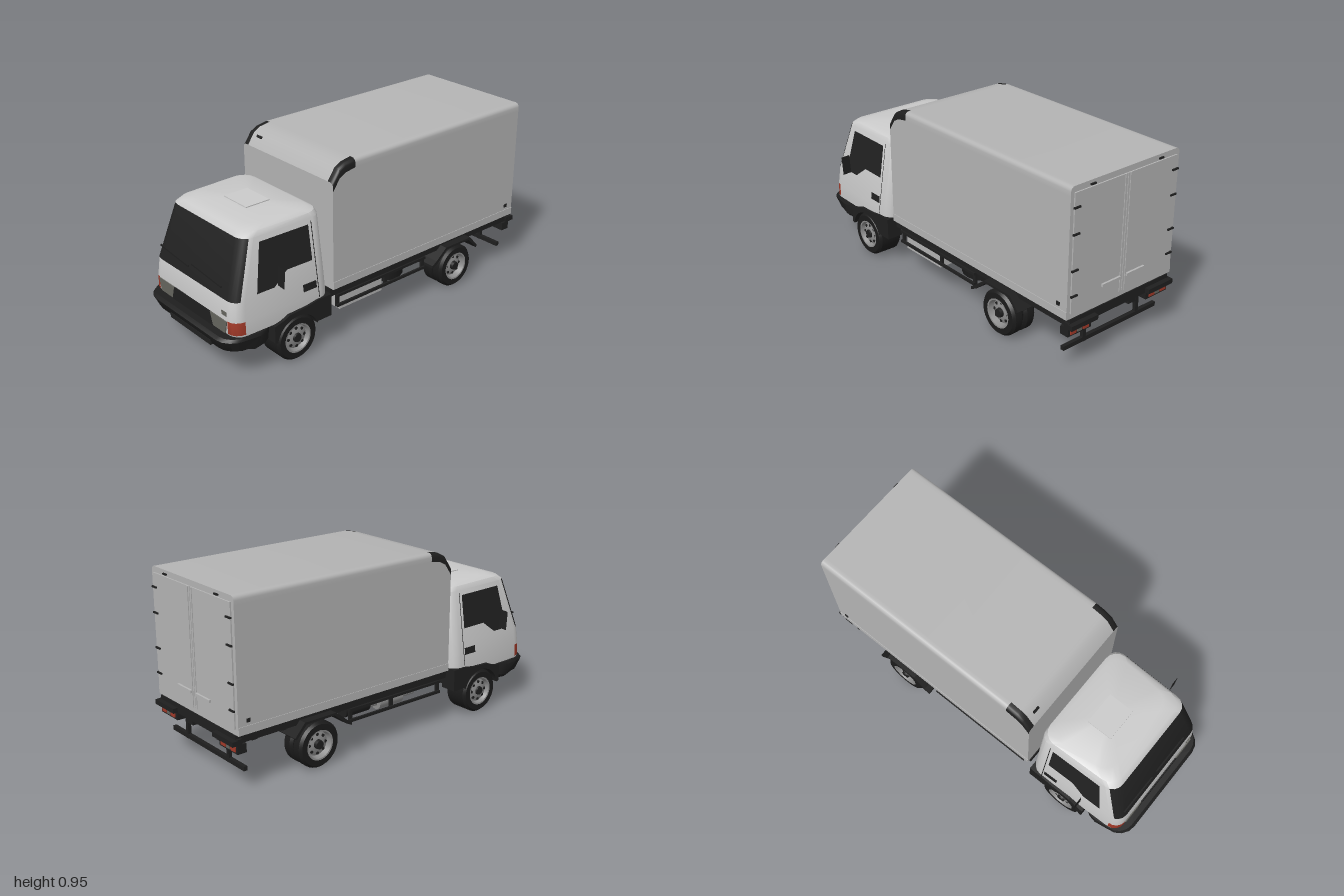
import * as THREE from 'three';
import { toCreasedNormals } from 'three/addons/utils/BufferGeometryUtils.js';

const paint = (name, color, side = THREE.FrontSide) => {
  const m = new THREE.MeshStandardMaterial({ color, side });
  m.name = name;
  return m;
};

// Skin over matching rings; pick(row, column) gives the material index, row -1 is a cap
function loft(rings, pick = () => 0) {
  const buckets = [[], [], []];
  const n = rings[0].length;
  const tri = (k, ...pts) => pts.forEach(p => buckets[k].push(...p));
  for (let i = 0; i < rings.length - 1; i++) {
    for (let j = 0; j < n; j++) {
      const q = (j + 1) % n, k = pick(i, j);
      const [a, b, c, d] = [rings[i][j], rings[i][q], rings[i + 1][q], rings[i + 1][j]];
      tri(k, a, b, c);
      tri(k, a, c, d);
    }
  }
  const first = rings[0], last = rings[rings.length - 1];
  const mid = r => [0, 1, 2].map(c => r.reduce((s, p) => s + p[c], 0) / n);
  for (let j = 0; j < n; j++) {
    const q = (j + 1) % n;
    tri(pick(-1, 0), mid(first), first[q], first[j]);
    tri(pick(-1, 0), mid(last), last[j], last[q]);
  }
  const geo = new THREE.BufferGeometry();
  geo.setAttribute('position', new THREE.Float32BufferAttribute(buckets.flat(), 3));
  let start = 0;
  buckets.forEach((b, k) => {
    if (b.length) geo.addGroup(start, b.length / 3, k);
    start += b.length / 3;
  });
  return toCreasedNormals(geo, 0.55);
}

// Rounded plan outline: front and back depth, front and back half width, corner radius
function planRing([y, zf, zb, wf, wb, r]) {
  const pts = [];
  const corners = [[-wf + r, zf - r, Math.PI], [wf - r, zf - r, Math.PI / 2], [wb - r, zb + r, 0], [-wb + r, zb + r, -Math.PI / 2]];
  for (const [x, z, a0] of corners) {
    for (let s = 0; s <= 4; s++) {
      const a = a0 - s * Math.PI / 8;
      pts.push([x + r * Math.cos(a), y, z + r * Math.sin(a)]);
    }
  }
  return pts;
}

// Cargo body section with rounded top edges; the extra points bound the corner caps
function cargoRing([z, top]) {
  const r = 0.022, w = 0.35, half = [[w, 0.29], [w, top - 0.045]];
  for (let k = 0; k <= 4; k++) {
    const a = k * Math.PI / 8;
    half.push([w - r + r * Math.cos(a), top - r + r * Math.sin(a)]);
  }
  half.push([0.312, top]);
  const other = half.map(([x, y]) => [-x, y]).reverse();
  return [...half, ...other].map(([x, y]) => [x, y, z]);
}

// Door surface: x at a given height and depth
function doorX(y, z) {
  const k = (y - 0.42) / 0.28, mix = THREE.MathUtils.lerp;
  const t = (z - 0.45) / (mix(0.94, 0.85, k) - 0.06 - 0.45);
  return mix(mix(0.347, 0.304, k), mix(0.336, 0.295, k), t);
}

export function createModel() {
  const truck = new THREE.Group();
  truck.name = 'boxTruck';
  const white = paint('cabWhite', 0xcacaca), cargo = paint('cargoGrey', 0xb4b4b4);
  const glass = paint('darkGlass', 0x212121, THREE.DoubleSide), black = paint('blackPlastic', 0x1f1f1f, THREE.DoubleSide);
  const rubber = paint('tyreRubber', 0x1b1b1b), red = paint('lampRed', 0xa33a29);
  const lamp = paint('headlampGrey', 0x64645e), steel = paint('rimSteel', 0x8c8c8c);

  const add = (name, geo, mat, x = 0, y = 0, z = 0) => {
    const m = new THREE.Mesh(geo, mat);
    m.name = name;
    m.position.set(x, y, z);
    truck.add(m);
    return m;
  };
  const box = (name, mat, w, h, d, x, y, z) => add(name, new THREE.BoxGeometry(w, h, d), mat, x, y, z);
  const rod = (name, mat, r, len, axis, x, y, z) => {
    const m = add(name, new THREE.CylinderGeometry(r, r, len, 20), mat, x, y, z);
    if (axis === 'x') m.rotation.z = Math.PI / 2;
    if (axis === 'z') m.rotation.x = Math.PI / 2;
    return m;
  };
  const outline = pts => new THREE.Shape(pts.map(p => new THREE.Vector2(...p)));
  // Extrudes a (z, y) outline across the width, centred on x
  const across = (name, mat, shape, width, x) => {
    const geo = new THREE.ExtrudeGeometry(shape, { depth: width, bevelEnabled: false, curveSegments: 16 });
    geo.translate(0, 0, -width / 2).rotateY(-Math.PI / 2);
    return add(name, geo, mat, x);
  };

  // Cab shell, windscreen and corner lamps
  const cabLevels = [
    [0.243, 0.945, 0.39, 0.347, 0.36, 0.06], [0.252, 0.95, 0.39, 0.347, 0.36, 0.06],
    [0.318, 0.95, 0.39, 0.345, 0.36, 0.06], [0.418, 0.94, 0.39, 0.336, 0.347, 0.06],
    [0.70, 0.85, 0.39, 0.295, 0.304, 0.06], [0.722, 0.825, 0.395, 0.282, 0.292, 0.07],
    [0.735, 0.77, 0.42, 0.25, 0.265, 0.08]];
  add('cab', loft(cabLevels.map(planRing), (i, j) => {
    if (i === 3 && j > 0 && j < 8) return 1;
    return i === 1 && j < 9 && j !== 4 ? 2 : 0;
  }), [white, glass, red]);
  box('roofHatch', white, 0.18, 0.01, 0.14, -0.01, 0.735, 0.6);

  // Grille and headlamps
  const plate = (name, mat, pts, z) => add(name, new THREE.ExtrudeGeometry(outline(pts), { depth: 0.006, bevelEnabled: false }), mat, 0, 0, z);
  plate('grille', black, [[-0.17, 0.247], [0.17, 0.247], [0.15, 0.316], [-0.15, 0.316]], 0.95);
  for (const s of [1, -1]) {
    const pts = [[0.172, 0.25], [0.27, 0.25], [0.285, 0.316], [0.152, 0.316]].map(([x, y]) => [s * x, y]);
    plate('headlamp', lamp, pts, 0.949);
  }
  box('frontPanelPlate', lamp, 0.038, 0.02, 0.006, 0.26, 0.35, 0.947);
  // Wipers
  for (const x of [-0.17, 0.1]) {
    const wiper = box('wiper', black, 0.24, 0.008, 0.008, x, 0.475, 0.927);
    wiper.rotation.z = -0.1;
  }

  // Front bumper
  const bumper = [[0.14, 0.95, 0.73, 0.31, 0.33, 0.1], [0.165, 0.975, 0.72, 0.34, 0.355, 0.1],
    [0.225, 1.0, 0.72, 0.355, 0.365, 0.1], [0.24, 0.985, 0.72, 0.35, 0.36, 0.09]];
  add('frontBumper', loft(bumper.map(planRing)), black);
  box('bumperInset', glass, 0.34, 0.028, 0.03, 0.02, 0.175, 0.972);

  const arch = outline([[0.74, 0.15], [0.74, 0.24], [0.69, 0.252], [0.65, 0.27], [0.54, 0.276], [0.47, 0.288], [0.39, 0.288], [0.39, 0.17], [0.475, 0.17]]);
  arch.absarc(0.6, 0.12, 0.127, 2.8, 0.2, true);
  const sideWindow = [[0.815, 0.435], [0.767, 0.675], [0.484, 0.675], [0.484, 0.497], [0.634, 0.497], [0.715, 0.435]];
  const handle = [[0.475, 0.355], [0.555, 0.355], [0.555, 0.392], [0.475, 0.392]];
  const seam = [[0.464, 0.3], [0.468, 0.3], [0.468, 0.69], [0.464, 0.69]];

  for (const s of [1, -1]) {
    // Door details laid on the slanted side
    for (const [name, mat, pts] of [['sideWindow', glass, sideWindow], ['doorHandle', black, handle], ['doorSeam', black, seam]]) {
      const geo = new THREE.ShapeGeometry(outline(pts));
      const p = geo.attributes.position;
      for (let i = 0; i < p.count; i++) {
        const z = p.getX(i), y = p.getY(i);
        p.setXYZ(i, s * (doorX(y, z) + 0.006), y, z);
      }
      geo.computeVertexNormals();
      add(name, geo, mat);
    }
    across('frontWheelArch', black, arch, 0.09, s * 0.325);
    const mirror = add('mirror', new THREE.PlaneGeometry(0.05, 0.105), black, s * 0.403, 0.512, 0.72);
    mirror.rotation.z = -s * 0.06;
  }

  // Cargo body with black upper front corners
  const cargoLevels = [[-0.97, 0.95], [0.22, 0.95], [0.28, 0.94], [0.318, 0.92], [0.36, 0.86]];
  const isCorner = j => (j > 0 && j < 7) || (j > 7 && j < 14);
  add('cargoBody', loft(cargoLevels.map(cargoRing), (i, j) => (i > 0 && isCorner(j) ? 1 : 0)), [cargo, black]);
  const vent = box('bodyVent', black, 0.04, 0.014, 0.008, -0.257, 0.909, 0.326);
  vent.rotation.x = -0.61;
  for (const s of [1, -1]) {
    box('sideRail', cargo, 0.006, 0.04, 1.33, s * 0.35, 0.312, -0.305);
    box('sideMarker', black, 0.006, 0.018, 0.02, s * 0.352, 0.358, -0.915);
    // Rear doors, hinges and locks
    box('rearDoor', cargo, 0.328, 0.6, 0.01, s * 0.166, 0.62, -0.972);
    for (const y of [0.41, 0.54, 0.72, 0.85]) box('hinge', black, 0.04, 0.008, 0.01, s * 0.318, y, -0.98);
    box('lockRod', cargo, 0.006, 0.6, 0.006, s * 0.016, 0.62, -0.978);
    box('lockHandle', cargo, 0.12, 0.014, 0.012, s * 0.08, 0.4, -0.982);
    box('topLatch', black, 0.03, 0.008, 0.008, s * 0.22, 0.932, -0.976);
  }

  // Chassis
  box('bedFrame', black, 0.66, 0.045, 1.34, 0, 0.267, -0.305);
  box('rearBeam', black, 0.68, 0.03, 0.03, 0, 0.255, -0.96);
  for (const z of [0.3, 0.05, -0.2, -0.35, -0.68, -0.85]) box('crossMember', black, 0.6, 0.03, 0.03, 0, 0.24, z);
  for (const s of [1, -1]) {
    box('frameRail', black, 0.05, 0.08, 1.75, s * 0.13, 0.225, -0.06);
    // Side guards
    for (const y of [0.178, 0.235]) box('sideGuard', black, 0.012, 0.014, 0.62, s * 0.33, y, 0.01);
    for (const z of [0.31, -0.02, -0.29]) box('guardPost', black, 0.012, 0.1, 0.02, s * 0.32, 0.22, z);
    // Rear mudguards
    const guard = outline([[-0.32, 0.175], [-0.36, 0.195], [-0.43, 0.255], [-0.6, 0.255], [-0.66, 0.19], [-0.67, 0.2], [-0.61, 0.267], [-0.42, 0.267], [-0.35, 0.21], [-0.32, 0.19]]);
    across('rearMudguard', black, guard, 0.16, s * 0.292);
    // Tail lamps and underrun bar
    box('rearStep', black, 0.17, 0.025, 0.03, s * 0.258, 0.255, -0.985);
    box('tailLampBox', black, 0.15, 0.045, 0.05, s * 0.262, 0.218, -0.945);
    for (const x of [0.225, 0.305]) box('tailLamp', red, 0.038, 0.025, 0.008, s * x, 0.218, -0.972);
    box('reverseLamp', lamp, 0.025, 0.025, 0.008, s * 0.265, 0.218, -0.972);
    box('underrunPost', black, 0.02, 0.15, 0.018, s * 0.18, 0.165, -0.915);
  }
  box('underrunBar', black, 0.63, 0.022, 0.02, 0, 0.103, -0.915);

  // Underside parts
  box('engine', black, 0.24, 0.13, 0.4, 0, 0.2, 0.68);
  box('frontAxle', black, 0.44, 0.03, 0.05, 0, 0.105, 0.6);
  rod('rearAxle', black, 0.03, 0.44, 'x', 0, 0.125, -0.51);
  add('differential', new THREE.SphereGeometry(0.05, 20, 14), black, 0, 0.125, -0.51);
  rod('driveShaft', black, 0.015, 1.0, 'z', 0, 0.185, -0.01);
  box('fuelTank', cargo, 0.13, 0.095, 0.29, 0.25, 0.188, 0.145);
  rod('spareWheel', rubber, 0.122, 0.085, 'y', 0.14, 0.175, -0.155);
  rod('spareWheelHub', black, 0.07, 0.02, 'y', 0.14, 0.13, -0.155);
  rod('muffler', steel, 0.04, 0.16, 'z', -0.235, 0.185, 0.03);
  rod('exhaustPipe', steel, 0.015, 0.36, 'z', -0.235, 0.18, 0.03);
  rod('airTank', black, 0.04, 0.16, 'z', -0.24, 0.2, -0.2);

  // Wheels: single in front, twinned at the rear
  const lathe = pts => toCreasedNormals(new THREE.LatheGeometry(pts.map(p => new THREE.Vector2(...p)), 36), 0.6);
  const wheel = (s, x, z, w, dish) => {
    const g = new THREE.Group();
    g.name = 'wheel';
    const part = (name, geo, mat) => {
      const m = new THREE.Mesh(geo, mat);
      m.name = name;
      g.add(m);
      return m;
    };
    part('tyre', lathe([[0, -w + 0.01], [0.07, -w], [0.108, -w], [0.12, -w + 0.014], [0.12, w - 0.014], [0.108, w], [0.078, w], [0.074, w - 0.01]]), rubber);
    part('rim', lathe([[0.078, w + 0.001], [0.07, w], [0.063, w - dish], [0.035, w - dish + 0.012], [0, w - dish + 0.012]]), steel);
    part('hub', new THREE.CylinderGeometry(0.022, 0.026, dish, 20), black).position.y = w - dish / 2;
    for (let k = 0; k < 8; k++) {
      const slot = part('rimSlot', new THREE.CylinderGeometry(0.008, 0.008, 0.008, 10), black);
      const a = k * Math.PI / 4;
      slot.position.set(0.049 * Math.cos(a), w - dish + 0.006, 0.049 * Math.sin(a));
    }
    g.rotation.z = -s * Math.PI / 2;
    g.position.set(s * x, 0.12, z);
    truck.add(g);
  };
  for (const s of [1, -1]) {
    wheel(s, 0.293, 0.598, 0.071, 0.022);
    wheel(s, 0.328, -0.513, 0.034, 0.03);
    wheel(s, 0.254, -0.513, 0.034, 0.03);
  }
  return truck;
}
